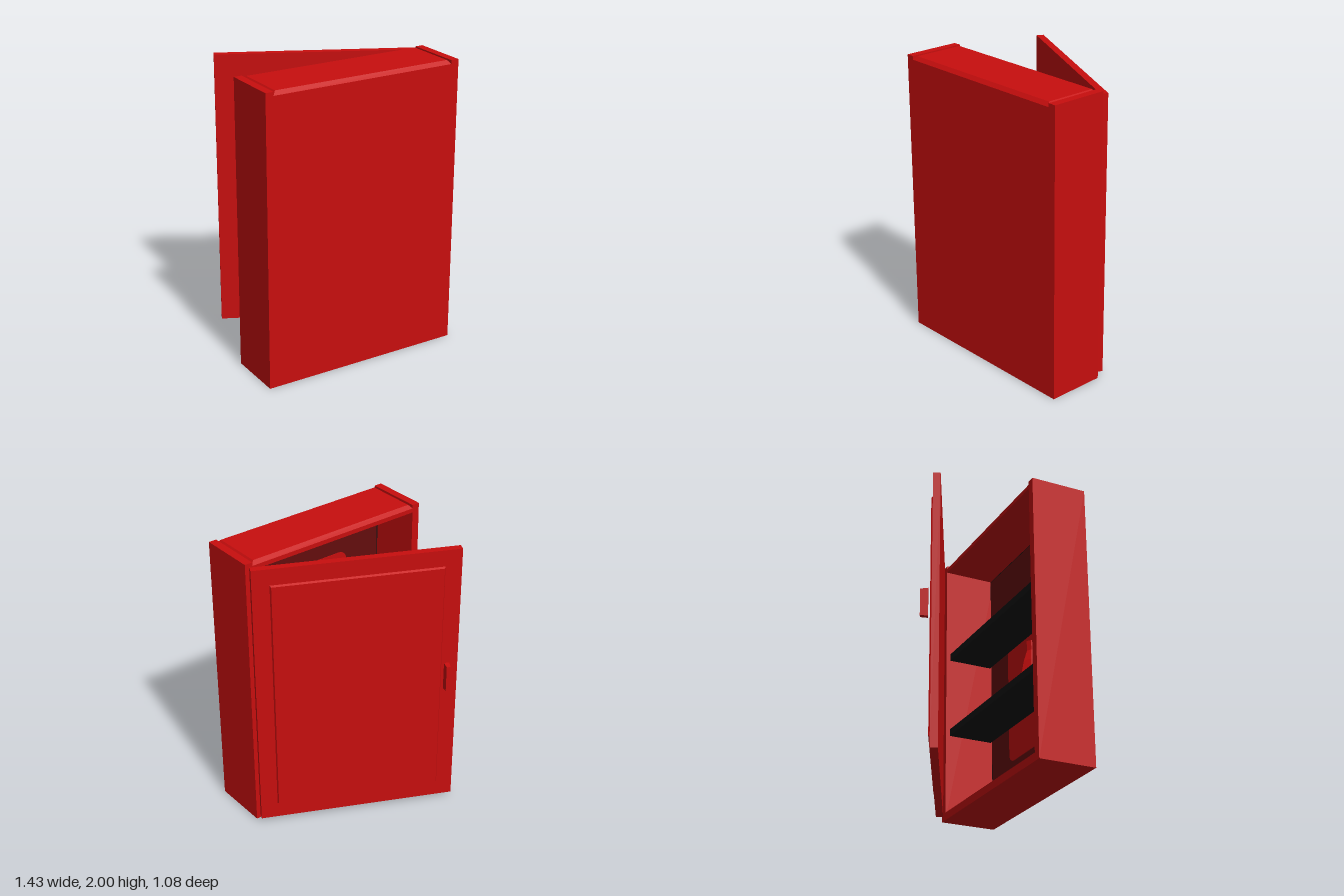
import * as THREE from 'three';

export function createModel() {
  const root = new THREE.Group();
  root.name = 'wallCabinet';

  const material = (name, color) => {
    const m = new THREE.MeshStandardMaterial({ color });
    m.name = name;
    return m;
  };
  const red = material('red paint', 0xc80e0e);
  const darkRed = material('dark red', 0x640d0d);
  const black = material('black', 0x121212);

  const add = (parent, name, geometry, mat) => {
    const mesh = new THREE.Mesh(geometry, mat);
    mesh.name = name;
    parent.add(mesh);
    return mesh;
  };

  // Box given by its lower and upper limits on each axis
  const box = (parent, name, mat, x0, x1, y0, y1, z0, z1) => {
    const mesh = add(parent, name, new THREE.BoxGeometry(x1 - x0, y1 - y0, z1 - z0), mat);
    mesh.position.set((x0 + x1) / 2, (y0 + y1) / 2, (z0 + z1) / 2);
    return mesh;
  };

  // Box whose upper (axis 'y') or rear (axis 'z') face is drawn in to form a bevel
  const bevelled = (parent, name, mat, limits, axis, inset) => {
    const mesh = box(parent, name, mat, ...limits);
    const p = mesh.geometry.attributes.position;
    for (let i = 0; i < p.count; i++) {
      const moved = axis === 'y' ? p.getY(i) > 0 : p.getZ(i) < 0;
      if (!moved) continue;
      p.setX(i, p.getX(i) - Math.sign(p.getX(i)) * inset);
      if (axis === 'y') p.setZ(i, p.getZ(i) - Math.sign(p.getZ(i)) * inset);
      else p.setY(i, p.getY(i) - Math.sign(p.getY(i)) * inset);
    }
    mesh.geometry.computeVertexNormals();
    return mesh;
  };

  // Cabinet carcass, open towards -z
  const body = new THREE.Group();
  body.name = 'cabinetBody';
  root.add(body);
  for (const side of [-1, 1]) {
    const a = side * 0.658, b = side * 0.713;
    box(body, side > 0 ? 'leftSide' : 'rightSide', red,
      Math.min(a, b), Math.max(a, b), 0, 2, 0.14, 0.54);
  }
  box(body, 'floor', red, -0.658, 0.658, 0, 0.055, 0.14, 0.54);
  box(body, 'roof', red, -0.658, 0.658, 1.945, 1.975, 0.14, 0.54);
  bevelled(body, 'roofBevel', red, [-0.658, 0.658, 1.975, 2, 0.14, 0.54], 'y', 0.022);
  box(body, 'backWall', red, -0.658, 0.658, 0.055, 1.945, 0.51, 0.54);

  // Layered lining inside the back wall
  box(body, 'liningTrim', black, -0.658, 0.658, 0.055, 1.945, 0.506, 0.51);
  box(body, 'lining', darkRed, -0.648, 0.648, 0.065, 1.935, 0.502, 0.506);
  const w = 0.37, y0 = 0.38, y1 = 1.61, r = 0.07;
  const patch = new THREE.Shape();
  patch.moveTo(-w + r, y0);
  patch.lineTo(w - r, y0);
  patch.quadraticCurveTo(w, y0, w, y0 + r);
  patch.lineTo(w, y1 - r);
  patch.quadraticCurveTo(w, y1, w - r, y1);
  patch.lineTo(-w + r, y1);
  patch.quadraticCurveTo(-w, y1, -w, y1 - r);
  patch.lineTo(-w, y0 + r);
  patch.quadraticCurveTo(-w, y0, -w + r, y0);
  add(body, 'roundedBackPanel',
    new THREE.ExtrudeGeometry(patch, { depth: 0.005, bevelEnabled: false, curveSegments: 5 }), red)
    .position.z = 0.497;

  // Shelves and the things standing on them
  for (const top of [0.68, 1.27]) {
    box(body, 'shelf', black, -0.658, 0.658, top - 0.05, top, 0.17, 0.496);
  }
  box(body, 'smallCarton', darkRed, -0.46, -0.11, 1.27, 1.38, 0.33, 0.47);
  const profile = [[0, 0], [0.07, 0], [0.078, 0.1], [0.06, 0.19], [0.034, 0.27], [0.036, 0.34], [0, 0.34]]
    .map(([x, y]) => new THREE.Vector2(x, y));
  const bottleGeometry = new THREE.LatheGeometry(profile, 6).toNonIndexed();
  bottleGeometry.computeVertexNormals();
  add(body, 'bottle', bottleGeometry, red).position.set(-0.25, 0.68, 0.355);

  // Door, standing open about its hinge edge
  const door = new THREE.Group();
  door.name = 'door';
  door.position.set(0.707, 0, 0.09);
  door.rotation.y = -0.45;
  root.add(door);
  box(door, 'doorLeaf', red, -1.366, 0, 0.03, 1.975, 0, 0.05);
  bevelled(door, 'doorPanel', red, [-1.255, -0.115, 0.145, 1.86, -0.014, 0], 'z', 0.008);
  bevelled(door, 'doorHandle', red, [-1.302, -1.266, 0.947, 1.145, -0.076, -0.024], 'z', 0.004);

  return root;
}
